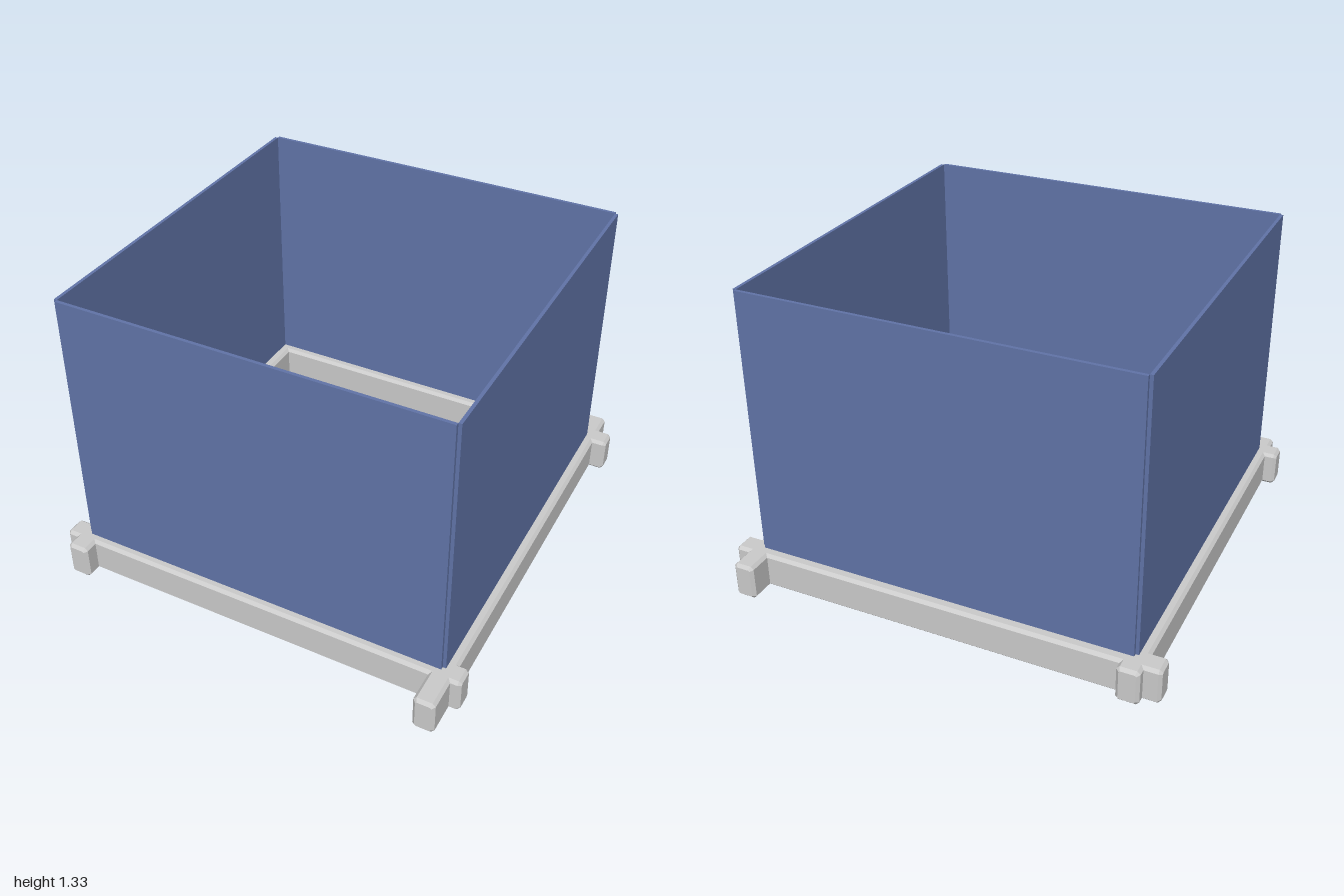
import * as THREE from 'three';

const grey = new THREE.MeshStandardMaterial({ color: 0xcccccc, flatShading: true });
const blue = new THREE.MeshStandardMaterial({ color: 0x6174a8 });

const BEAM_HEIGHT = 0.157;
const CHAMFER = 0.013;

// Beam running along z, every edge chamfered, centred on its own origin
function beamGeometry(width, height, length) {
  const c = CHAMFER, k = c * 0.414;
  const x = width / 2 - c, y = height / 2 - c;
  const outline = new THREE.Shape([
    [x - k, -y], [x, -y + k], [x, y - k], [x - k, y],
    [-x + k, y], [-x, y - k], [-x, -y + k], [-x + k, -y],
  ].map(([px, py]) => new THREE.Vector2(px, py)));
  const geometry = new THREE.ExtrudeGeometry(outline, {
    depth: length - 2 * c, bevelEnabled: true,
    bevelSize: c, bevelThickness: c, bevelSegments: 1,
  });
  return geometry.translate(0, 0, c - length / 2);
}

// Beam filling the given footprint
function beam(name, x0, x1, z0, z1) {
  const alongX = x1 - x0 > z1 - z0;
  const width = alongX ? z1 - z0 : x1 - x0;
  const length = alongX ? x1 - x0 : z1 - z0;
  const geometry = beamGeometry(width, BEAM_HEIGHT, length);
  if (alongX) geometry.rotateY(Math.PI / 2);
  const mesh = new THREE.Mesh(geometry, grey);
  mesh.name = name;
  mesh.position.set((x0 + x1) / 2, BEAM_HEIGHT / 2, (z0 + z1) / 2);
  return mesh;
}

// Thin upright panel seated in the beams
function panel(name, x0, x1, z0, z1) {
  const bottom = 0.1, top = 1.325;
  const mesh = new THREE.Mesh(new THREE.BoxGeometry(x1 - x0, top - bottom, z1 - z0), blue);
  mesh.name = name;
  mesh.position.set((x0 + x1) / 2, (top + bottom) / 2, (z0 + z1) / 2);
  return mesh;
}

export function createModel() {
  const model = new THREE.Group();
  model.name = 'openBoxOnFrame';

  // Base frame: crossing beams with overhanging ends
  const frame = new THREE.Group();
  frame.name = 'baseFrame';
  frame.add(
    beam('leftBeam', 0.785, 0.877, -1, 1),
    beam('rightBeam', -0.872, -0.777, -0.935, 0.923),
    beam('backBeam', -0.943, 0.94, -0.893, -0.799),
    beam('frontBeam', -0.925, 0.92, 0.763, 0.857),
  );

  // Four walls, meeting at their inner edges so the outer corners are notched
  const walls = new THREE.Group();
  walls.name = 'walls';
  const x0 = -0.833, x1 = 0.838, z0 = -0.85, z1 = 0.822, t = 0.014;
  walls.add(
    panel('frontWall', x0 + t, x1 - t, z1 - t, z1),
    panel('backWall', x0 + t, x1 - t, z0, z0 + t),
    panel('leftWall', x1 - t, x1, z0 + t, z1 - t),
    panel('rightWall', x0, x0 + t, z0 + t, z1 - t),
  );

  model.add(frame, walls);
  return model;
}
